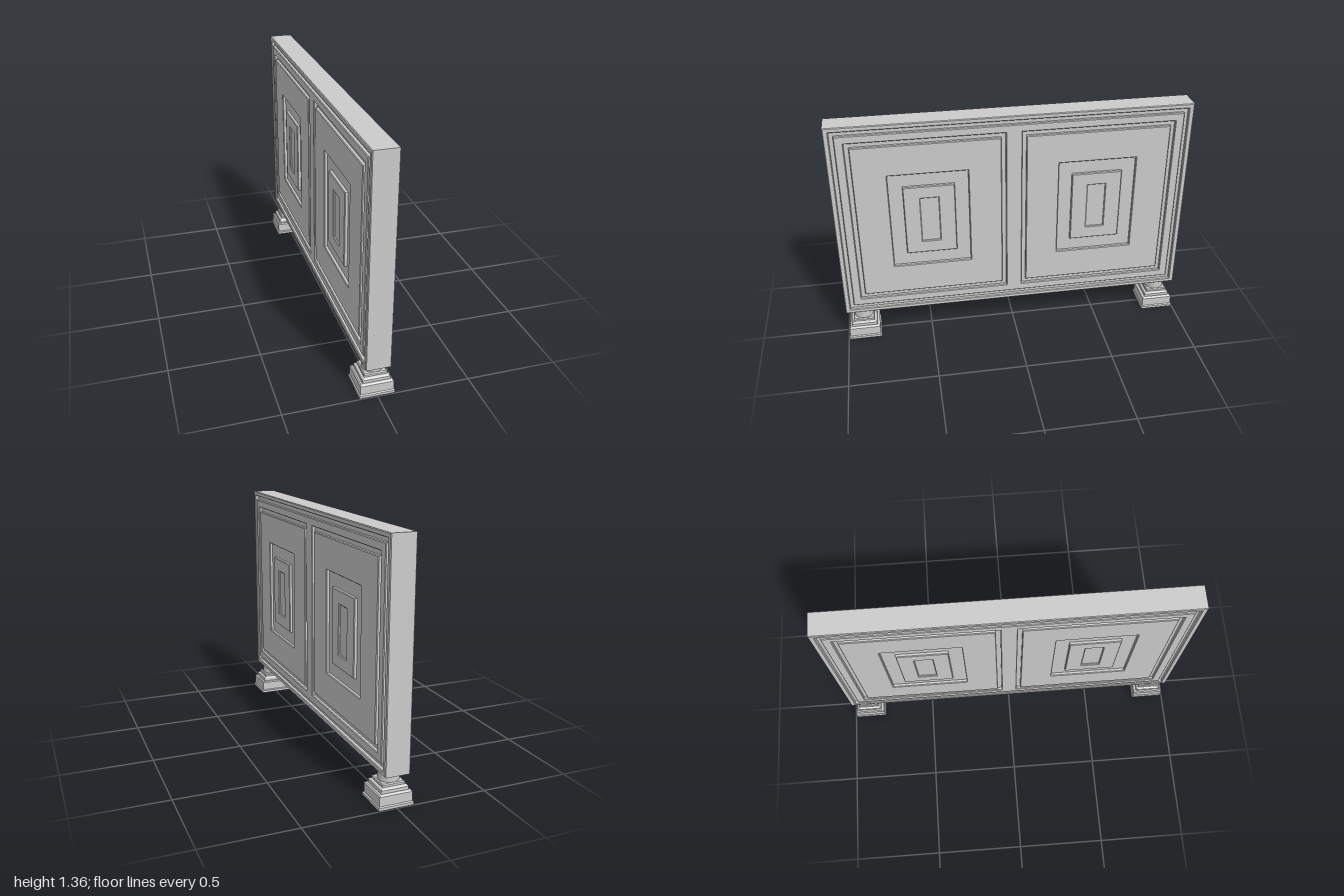
import * as THREE from 'three';

const material = new THREE.MeshStandardMaterial({ color: 0xcccccc });
const flatMaterial = new THREE.MeshStandardMaterial({ color: 0xcccccc, flatShading: true });

const HALF_X = 0.068; // half thickness of the panel
const MID_Y = 0.764; // centre height of the panel
const BEVEL = 0.004;

// Rectangle outline centred at (cx, 0); half width w, half height h
function rect(cx, w, h, Type = THREE.Shape) {
  const points = [[-w, -h], [w, -h], [w, h], [-w, h]];
  return new Type(points.map(([x, y]) => new THREE.Vector2(cx + x, y)));
}

// Bevelled slab with rectangular openings, standing from z0 to z1
function slab(outer, holes, z0, z1) {
  const shape = rect(...outer);
  for (const hole of holes) shape.holes.push(rect(...hole, THREE.Path));
  const geometry = new THREE.ExtrudeGeometry(shape, {
    depth: z1 - z0 - 2 * BEVEL,
    bevelEnabled: true,
    bevelThickness: BEVEL,
    bevelSize: BEVEL,
    bevelOffset: -BEVEL,
    bevelSegments: 1,
  });
  geometry.translate(0, 0, z0 + BEVEL);
  return geometry;
}

function add(parent, name, geometry, mat = material) {
  const mesh = new THREE.Mesh(geometry, mat);
  mesh.name = name;
  parent.add(mesh);
  return mesh;
}

// Raised layers of one face; the gaps between them form the grooves
function makeFace() {
  const face = new THREE.Group();
  face.name = 'panelFace';
  const back = 0.03;
  const front = HALF_X - 0.002;
  const centres = [-0.473, 0.473];
  add(face, 'innerFrame', slab([0, 0.949, 0.541], centres.map((c) => [c, 0.428, 0.496]), back, front));
  for (const c of centres) {
    add(face, 'field', slab([c, 0.404, 0.469], [[c, 0.22, 0.29]], back, front));
    add(face, 'raisedBlock', slab([c, 0.143, 0.212], [[c, 0.051, 0.137]], back, front));
    // shallow sunk rectangle in the middle of the block
    const floor = add(face, 'sunkCentre', new THREE.BoxGeometry(0.11, 0.28, 0.02));
    floor.position.set(c, 0, 0.046);
  }
  return face;
}

// Square stepped foot with a round neck
function makeFoot() {
  const foot = new THREE.Group();
  foot.name = 'foot';
  const profile = [
    [0, 0], [0.096, 0], [0.096, 0.015], [0.09, 0.02], [0.09, 0.07], [0.084, 0.076],
    [0.075, 0.077], [0.075, 0.094], [0.07, 0.1], [0.062, 0.104], [0.062, 0.115], [0.057, 0.12], [0, 0.12],
  ].map(([r, y]) => new THREE.Vector2(r * Math.SQRT2, y));
  const base = add(foot, 'footBase', new THREE.LatheGeometry(profile, 4), flatMaterial);
  base.rotation.y = Math.PI / 4;
  const neck = add(foot, 'footNeck', new THREE.CylinderGeometry(0.055, 0.055, 0.07, 32));
  neck.position.y = 0.145;
  return foot;
}

export function createModel() {
  const model = new THREE.Group();
  model.name = 'panelOnFeet';

  const panel = new THREE.Group();
  panel.name = 'panel';
  panel.position.y = MID_Y;
  panel.rotation.y = Math.PI / 2;
  model.add(panel);

  // Core that closes the bottoms of the grooves, and the rim around it
  add(panel, 'core', new THREE.BoxGeometry(1.98, 1.17, 0.096));
  add(panel, 'outerRim', slab([0, 1, 0.592], [[0, 0.971, 0.566]], -HALF_X, HALF_X));

  // Same relief on both broad sides
  for (const turn of [0, Math.PI]) {
    const face = makeFace();
    face.rotation.y = turn;
    panel.add(face);
  }

  for (const z of [-0.9, 0.9]) {
    const foot = makeFoot();
    foot.position.z = z;
    model.add(foot);
  }
  return model;
}
